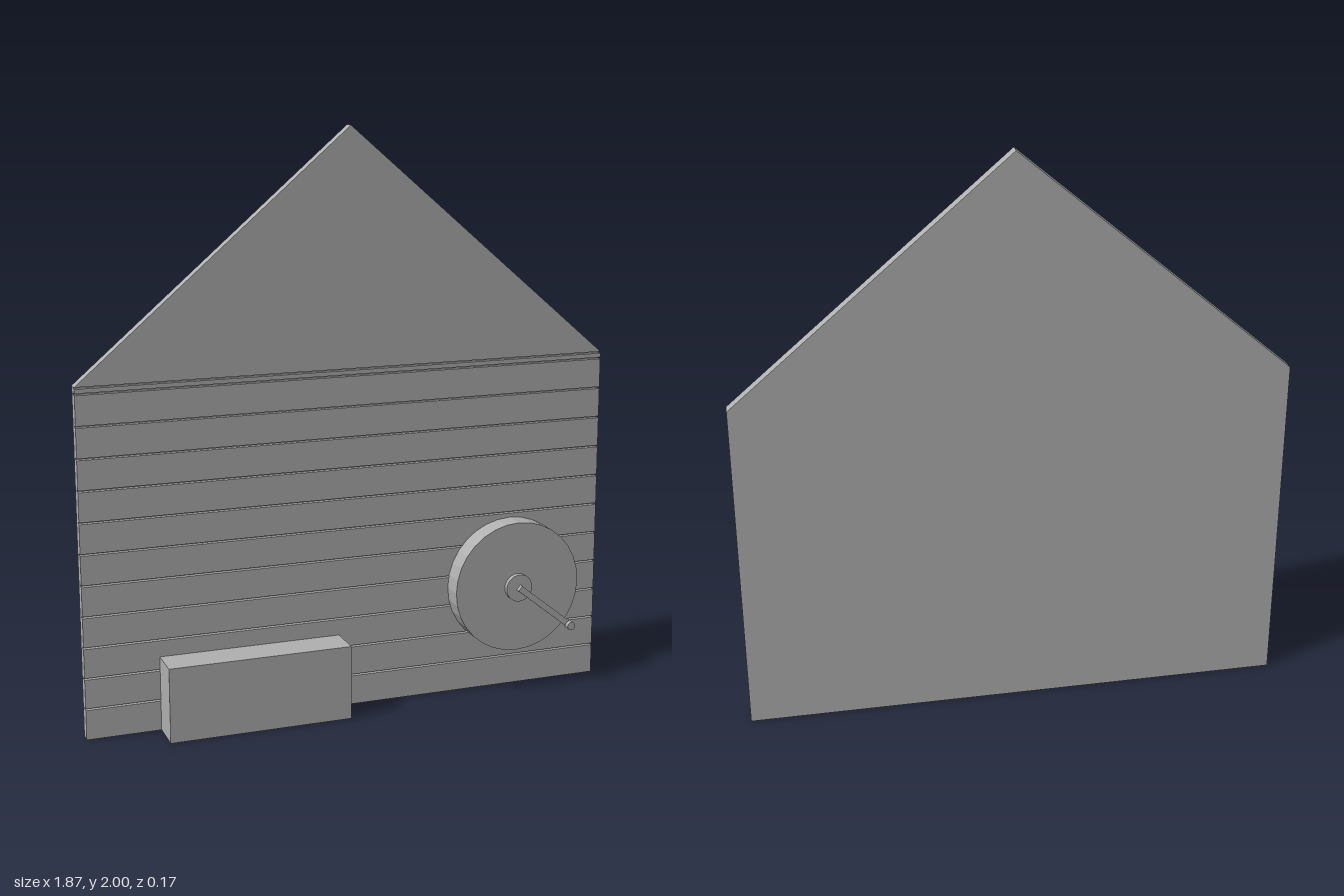
import * as THREE from 'three';

const WALL_BACK = -0.083, WALL_FRONT = -0.044, HALF_WIDTH = 0.935, EAVE = 1.195;

export function createModel() {
  const group = new THREE.Group();
  const grey = new THREE.MeshStandardMaterial({ color: 0xb0b0b0 });
  grey.name = 'grey';

  const add = (name, geometry, x = 0, y = 0, z = 0) => {
    const mesh = new THREE.Mesh(geometry, grey);
    mesh.name = name;
    mesh.position.set(x, y, z);
    group.add(mesh);
    return mesh;
  };
  const box = (name, x0, x1, y0, y1, z0, z1) =>
    add(name, new THREE.BoxGeometry(x1 - x0, y1 - y0, z1 - z0), (x0 + x1) / 2, (y0 + y1) / 2, (z0 + z1) / 2);
  // Disc facing forward, with flat facets around its rim
  const disc = (name, x, y, radius, z0, z1, sides) => {
    const geometry = new THREE.CylinderGeometry(radius, radius, z1 - z0, sides).rotateX(Math.PI / 2).toNonIndexed();
    geometry.computeVertexNormals();
    return add(name, geometry, x, y, (z0 + z1) / 2);
  };

  // Siding wall: side profile (z, y) with narrow grooves, extruded across x
  const profile = new THREE.Shape();
  const grooveDepth = 0.016, grooveHeight = 0.006;
  profile.moveTo(WALL_BACK, 0);
  profile.lineTo(WALL_FRONT, 0);
  for (let i = 1; i <= 11; i++) {
    const y = i * 0.1065;
    profile.lineTo(WALL_FRONT, y - grooveHeight / 2);
    profile.lineTo(WALL_FRONT - grooveDepth, y - grooveHeight / 2);
    profile.lineTo(WALL_FRONT - grooveDepth, y + grooveHeight / 2);
    profile.lineTo(WALL_FRONT, y + grooveHeight / 2);
  }
  // Last groove sits directly under the gable
  profile.lineTo(WALL_FRONT, EAVE - grooveHeight);
  profile.lineTo(WALL_FRONT - grooveDepth, EAVE - grooveHeight);
  profile.lineTo(WALL_FRONT - grooveDepth, EAVE);
  profile.lineTo(WALL_BACK, EAVE);
  profile.closePath();
  const siding = new THREE.ExtrudeGeometry(profile, { depth: HALF_WIDTH * 2, bevelEnabled: false });
  siding.rotateY(-Math.PI / 2).scale(1, 1, 1);
  // The turn sends profile x to +z and the extrusion to -x
  add('sidingWall', siding, HALF_WIDTH, 0, 0);

  // Triangular gable
  const triangle = new THREE.Shape([
    new THREE.Vector2(-HALF_WIDTH, EAVE),
    new THREE.Vector2(HALF_WIDTH, EAVE),
    new THREE.Vector2(0, 2),
  ]);
  add('gable', new THREE.ExtrudeGeometry(triangle, { depth: WALL_FRONT - WALL_BACK, bevelEnabled: false }), 0, 0, WALL_BACK);

  // Storage box with lid
  box('storageBox', -0.68, -0.045, 0, 0.226, WALL_FRONT, 0.08);
  box('storageBoxLid', -0.68, -0.045, 0.226, 0.26, WALL_FRONT, 0.08);

  // Hose reel with hub and crank
  const cx = 0.595, cy = 0.387, kx = 0.786, ky = 0.234;
  disc('reelDrum', cx, cy, 0.234, WALL_FRONT, 0.033, 32);
  disc('reelHub', cx, cy, 0.049, 0.033, 0.05, 24);
  const length = Math.hypot(kx - cx, ky - cy) + 0.01;
  const arm = add('crankArm', new THREE.BoxGeometry(length, 0.022, 0.016), (cx + kx) / 2, (cy + ky) / 2, 0.058);
  arm.rotation.z = Math.atan2(ky - cy, kx - cx);
  disc('crankKnob', kx, ky, 0.015, 0.052, 0.083, 12);

  return group;
}
